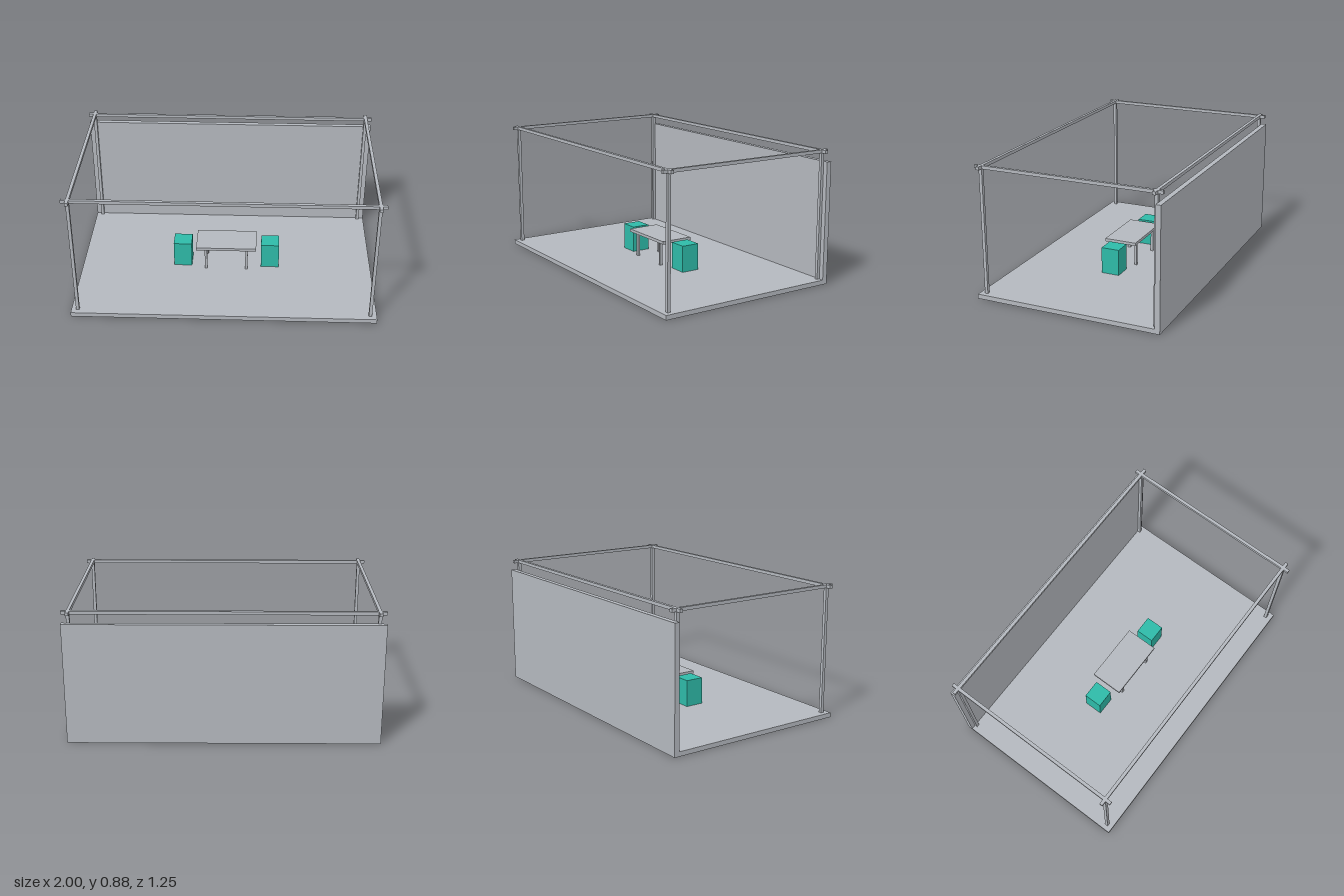
import * as THREE from 'three';

export function createModel() {
  const model = new THREE.Group();
  const grey = new THREE.MeshStandardMaterial({ name: 'grey', color: 0xb4b8be });
  const teal = new THREE.MeshStandardMaterial({ name: 'teal', color: 0x2ebaa8 });

  // Box given by its size, the centre of its base and its material
  function block(name, [w, h, d], [x, y, z], material = grey, parent = model) {
    const mesh = new THREE.Mesh(new THREE.BoxGeometry(w, h, d), material);
    mesh.name = name;
    mesh.position.set(x, y + h / 2, z);
    parent.add(mesh);
    return mesh;
  }

  const floorTop = 0.03, bar = 0.021, top = 0.875;
  const postX = 0.958, postZ = 0.58;

  // Floor slab and back wall
  block('floor', [2, floorTop, 1.212], [0, 0, 0.017]);
  block('backWall', [2, 0.8, 0.034], [0, 0, -0.606]);

  // Open frame: posts carry rails that cross and overhang at the corners
  const frame = new THREE.Group();
  frame.name = 'frame';
  model.add(frame);
  for (const side of [-1, 1]) {
    block('longRail', [2, bar, bar], [0, top - bar, side * postZ], grey, frame);
    block('sideRail', [bar, bar, 1.246], [side * postX, top - bar, 0], grey, frame);
    for (const end of [-1, 1]) {
      block('post', [bar, top - floorTop, bar], [side * postX, floorTop, end * postZ], grey, frame);
    }
  }

  // Table with four square legs
  const table = new THREE.Group();
  table.name = 'table';
  model.add(table);
  block('tableTop', [0.412, 0.02, 0.222], [0, 0.19, 0], grey, table);
  for (const x of [-0.14, 0.14]) {
    for (const z of [-0.087, 0.087]) {
      block('tableLeg', [0.017, 0.16, 0.017], [x, floorTop, z], grey, table);
    }
  }

  // Cube stools at either end of the table
  for (const side of [-1, 1]) {
    block('stool', [0.124, 0.178, 0.124], [side * 0.302, floorTop, 0], teal);
  }

  return model;
}
